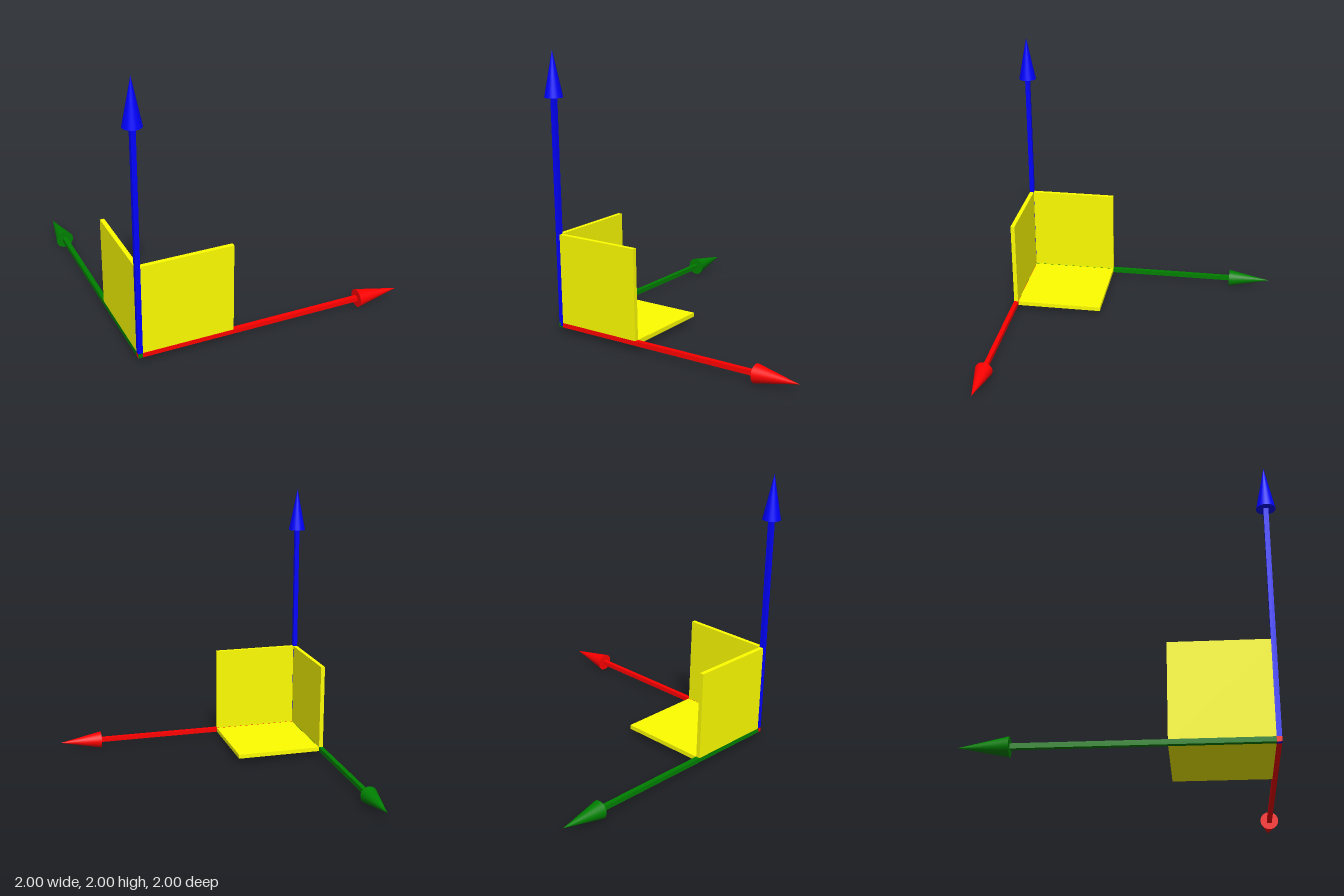
import * as THREE from 'three';

const ORIGIN = 0.064;      // origin height above the ground
const LENGTH = 1.936;      // axis length from origin to tip
const HEAD = 0.32;         // arrow head length
const SHAFT = 0.033;       // square shaft thickness
const PLATE = 0.031;       // plane thickness
const SIZE = 0.662;        // plane extent from the origin

const material = (color) => new THREE.MeshStandardMaterial({ color });

// Arrow pointing up +y: square shaft plus cone head
function arrow(name, color) {
  const group = new THREE.Group();
  group.name = name;
  const mat = material(color);
  const top = LENGTH - HEAD;
  const shaft = new THREE.Mesh(new THREE.BoxGeometry(SHAFT, top + SHAFT / 2, SHAFT), mat);
  shaft.name = name + 'Shaft';
  shaft.position.y = (top - SHAFT / 2) / 2;
  const head = new THREE.Mesh(new THREE.ConeGeometry(0.064, HEAD, 32), mat);
  head.name = name + 'Head';
  head.position.y = top + HEAD / 2;
  group.add(shaft, head);
  return group;
}

export function createModel() {
  const model = new THREE.Group();
  model.name = 'coordinateAxes';
  model.position.set(-1 + ORIGIN, ORIGIN, 1 - ORIGIN);

  // Three axis arrows: right, back and up
  const xAxis = arrow('redAxis', 0xff0000);
  xAxis.rotation.z = -Math.PI / 2;
  const depthAxis = arrow('greenAxis', 0x008000);
  depthAxis.rotation.x = -Math.PI / 2;
  model.add(xAxis, depthAxis, arrow('blueAxis', 0x0000ff));

  // Three thin square planes spanning each pair of axes
  const yellow = material(0xffff00);
  const side = SIZE + PLATE / 2;
  const mid = (SIZE - PLATE / 2) / 2;
  const planes = [['sidePlane', 0], ['floorPlane', 1], ['frontPlane', 2]];
  for (const [name, thin] of planes) {
    const dims = [side, side, side];
    const pos = [mid, mid, -mid];
    dims[thin] = PLATE;
    pos[thin] = 0;
    const plane = new THREE.Mesh(new THREE.BoxGeometry(...dims), yellow);
    plane.name = name;
    plane.position.set(...pos);
    model.add(plane);
  }

  const root = new THREE.Group();
  root.name = 'axesModel';
  root.add(model);
  return root;
}
